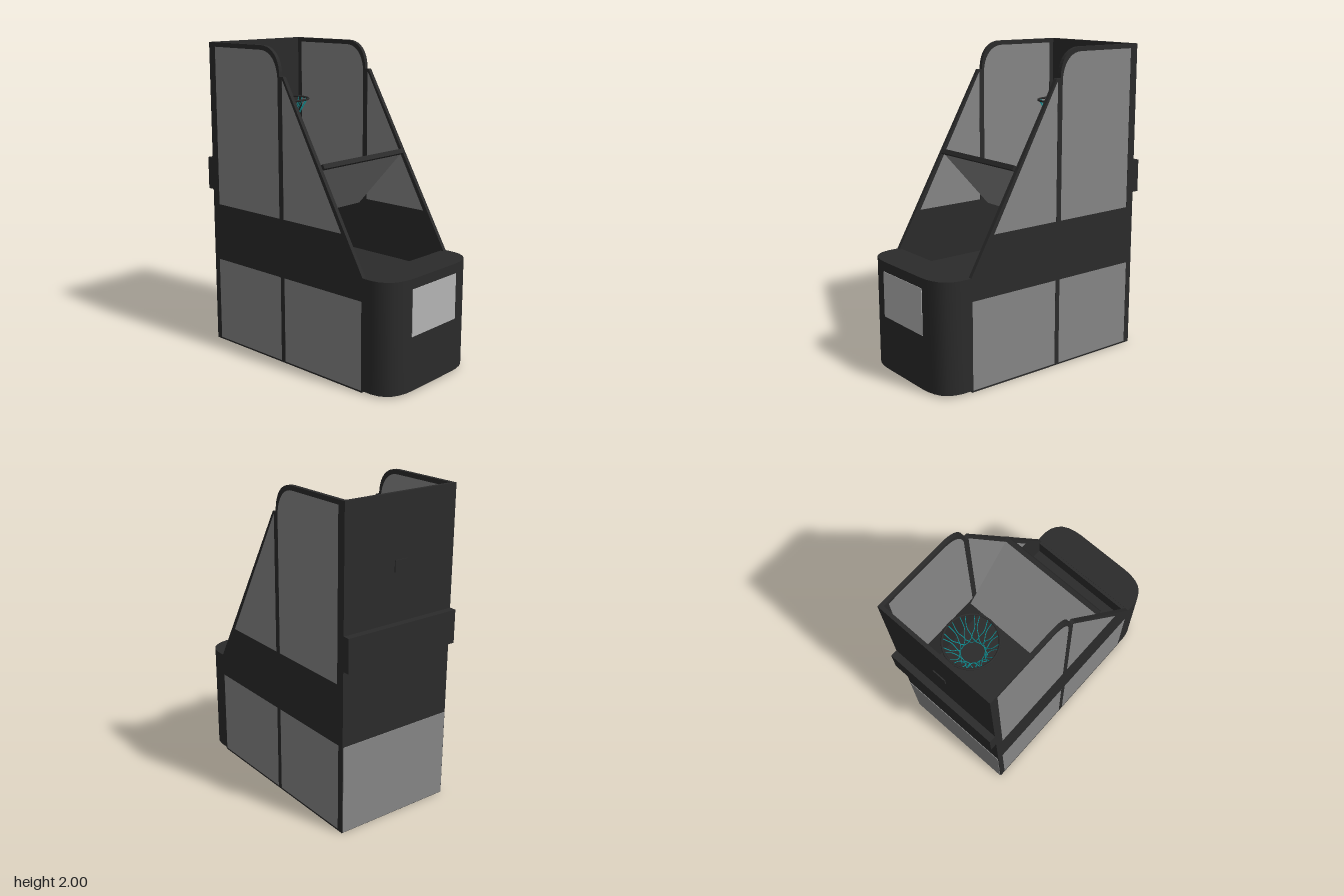
import * as THREE from 'three';

const mat = (name, color, side = THREE.FrontSide) => {
  const m = new THREE.MeshStandardMaterial({ color, side });
  m.name = name;
  return m;
};

export function createModel() {
  const black = mat('black cabinet', 0x2b2b2b);
  const blackOpen = mat('black cabinet shell', 0x2b2b2b, THREE.DoubleSide);
  const grey = mat('grey panel', 0x868686, THREE.DoubleSide);
  const pale = mat('pale screen', 0xb4b4b4);
  const teal = mat('teal net', 0x0fa3a8);

  const model = new THREE.Group();
  model.name = 'basketballCabinet';

  const add = (name, geometry, material, x = 0, y = 0, z = 0, parent = model) => {
    const mesh = new THREE.Mesh(geometry, material);
    mesh.name = name;
    mesh.position.set(x, y, z);
    parent.add(mesh);
    return mesh;
  };
  // Box given by its limits on each axis
  const box = (name, material, [x0, x1], [y0, y1], [z0, z1]) =>
    add(name, new THREE.BoxGeometry(x1 - x0, y1 - y0, z1 - z0), material,
      (x0 + x1) / 2, (y0 + y1) / 2, (z0 + z1) / 2);
  const polygon = (points) => new THREE.Shape(points.map(([x, y]) => new THREE.Vector2(x, y)));
  const extrude = (shape, depth) =>
    new THREE.ExtrudeGeometry(shape, { depth, bevelEnabled: false, curveSegments: 10 });

  // Side frame openings, each filled with a grey panel
  const netOpening = new THREE.Shape();
  netOpening.moveTo(-0.69, 0.945);
  netOpening.lineTo(-0.117, 0.945);
  netOpening.lineTo(-0.117, 1.81);
  netOpening.bezierCurveTo(-0.125, 1.91, -0.18, 1.972, -0.265, 1.972);
  netOpening.lineTo(-0.69, 1.972);
  netOpening.closePath();
  const openings = {
    upperBackPanel: netOpening,
    upperFrontPanel: polygon([[-0.08, 0.945], [0.403, 0.945], [-0.07, 1.79], [-0.08, 1.805]]),
    lowerBackPanel: polygon([[-0.705, 0.01], [-0.113, 0.01], [-0.113, 0.567], [-0.705, 0.567]]),
    lowerFrontPanel: polygon([[-0.08, 0.01], [0.562, 0.01], [0.562, 0.567], [-0.08, 0.567]]),
  };
  const outline = new THREE.Shape();
  outline.moveTo(-0.745, 0);
  outline.lineTo(0.57, 0);
  outline.lineTo(0.57, 0.71);
  outline.lineTo(-0.07, 1.82);
  outline.lineTo(-0.1, 1.82);
  outline.bezierCurveTo(-0.1, 1.93, -0.16, 2, -0.26, 2);
  outline.lineTo(-0.745, 2);
  outline.closePath();
  outline.holes = Object.values(openings);

  const thick = 0.025;
  for (const [side, z] of [['left', 0.375], ['right', -0.4]]) {
    add(side + 'SideFrame', extrude(outline, thick), black, 0, 0, z);
    for (const [name, shape] of Object.entries(openings)) {
      add(side + name[0].toUpperCase() + name.slice(1), extrude(shape, thick - 0.002), grey, 0, 0, z + 0.001);
    }
  }

  // Cabinet body between the side frames
  const inner = [-0.375, 0.375];
  box('backWall', black, [-0.745, -0.722], [0, 2], inner);
  box('backLowerPanel', grey, [-0.749, -0.745], [0.005, 0.567], [-0.395, 0.395]);
  box('backBox', black, [-0.79, -0.745], [1.04, 1.25], [-0.4, 0.4]);
  box('basePlate', black, [-0.722, 0.55], [0, 0.012], inner);
  box('playfieldFloor', black, [-0.722, 0.55], [0.565, 0.585], inner);
  box('frontWall', black, [0.55, 0.57], [0, 0.708], inner);

  // Slanted guard sheet hanging from the crossbar
  const dx = 0.36, dy = 0.385;
  const guard = add('guardSheet', new THREE.BoxGeometry(Math.hypot(dx, dy), 0.006, 0.74), grey, 0.037, 1.107, 0);
  guard.rotation.z = Math.atan2(dy, dx);
  const bar = add('crossbar', new THREE.BoxGeometry(0.03, 0.03, 0.75), black, 0.227, 1.31, 0);
  bar.rotation.z = Math.PI / 6;

  // Console: rounded hollow shell, open underneath
  const half = [[0.57, 0.4], [0.64, 0.4], [0.685, 0.39], [0.725, 0.368], [0.752, 0.34], [0.772, 0.3], [0.784, 0.25], [0.788, 0.2]];
  const plan = [...half, ...half.map(([x, z]) => [x, -z]).reverse()];
  const rows = plan.length;
  const position = [], index = [];
  plan.forEach(([x, z], i) => {
    position.push(x, 0.012, z, x, 0.71, z);
    if (i < rows - 1) {
      const a = 2 * i;
      index.push(a, a + 2, a + 1, a + 1, a + 2, a + 3);
    }
  });
  const shell = new THREE.BufferGeometry();
  shell.setAttribute('position', new THREE.Float32BufferAttribute(position, 3));
  shell.setIndex(index);
  shell.computeVertexNormals();
  add('consoleShell', shell, blackOpen);
  const lid = new THREE.ShapeGeometry(polygon(plan.map(([x, z]) => [x, -z])));
  lid.rotateX(-Math.PI / 2);
  add('consoleTop', lid, blackOpen, 0, 0.71, 0);
  box('consoleScreen', pale, [0.786, 0.791], [0.355, 0.647], [-0.21, 0.21]);

  // Hoop and its mount through the back wall
  const hoop = new THREE.Group();
  hoop.name = 'hoop';
  hoop.position.set(-0.485, 1.625, 0);
  model.add(hoop);
  const rim = add('rim', new THREE.TorusGeometry(0.164, 0.007, 8, 40), black, 0, 0, 0, hoop);
  rim.rotation.x = Math.PI / 2;
  box('rimArm', black, [-0.725, -0.645], [1.61, 1.628], [-0.028, 0.028]);
  box('rimMount', black, [-0.752, -0.715], [1.55, 1.62], [-0.045, 0.045]);

  // Net: paired strands that spread, cross and flare
  const net = new THREE.Group();
  net.name = 'net';
  hoop.add(net);
  const strand = [[0.16, 0, 0.1], [0.115, -0.08, 0.06], [0.08, -0.15, 0.26], [0.072, -0.205, 0], [0.085, -0.265, 0.26]];
  for (let i = 0; i < 12; i++) {
    for (const s of [1, -1]) {
      const path = new THREE.CatmullRomCurve3(strand.map(([r, y, turn]) => {
        const a = (i / 12) * Math.PI * 2 + s * turn;
        return new THREE.Vector3(r * Math.cos(a), y, r * Math.sin(a));
      }));
      add('netStrand', new THREE.TubeGeometry(path, 14, 0.0025, 4), teal, 0, 0, 0, net);
    }
  }
  return model;
}
